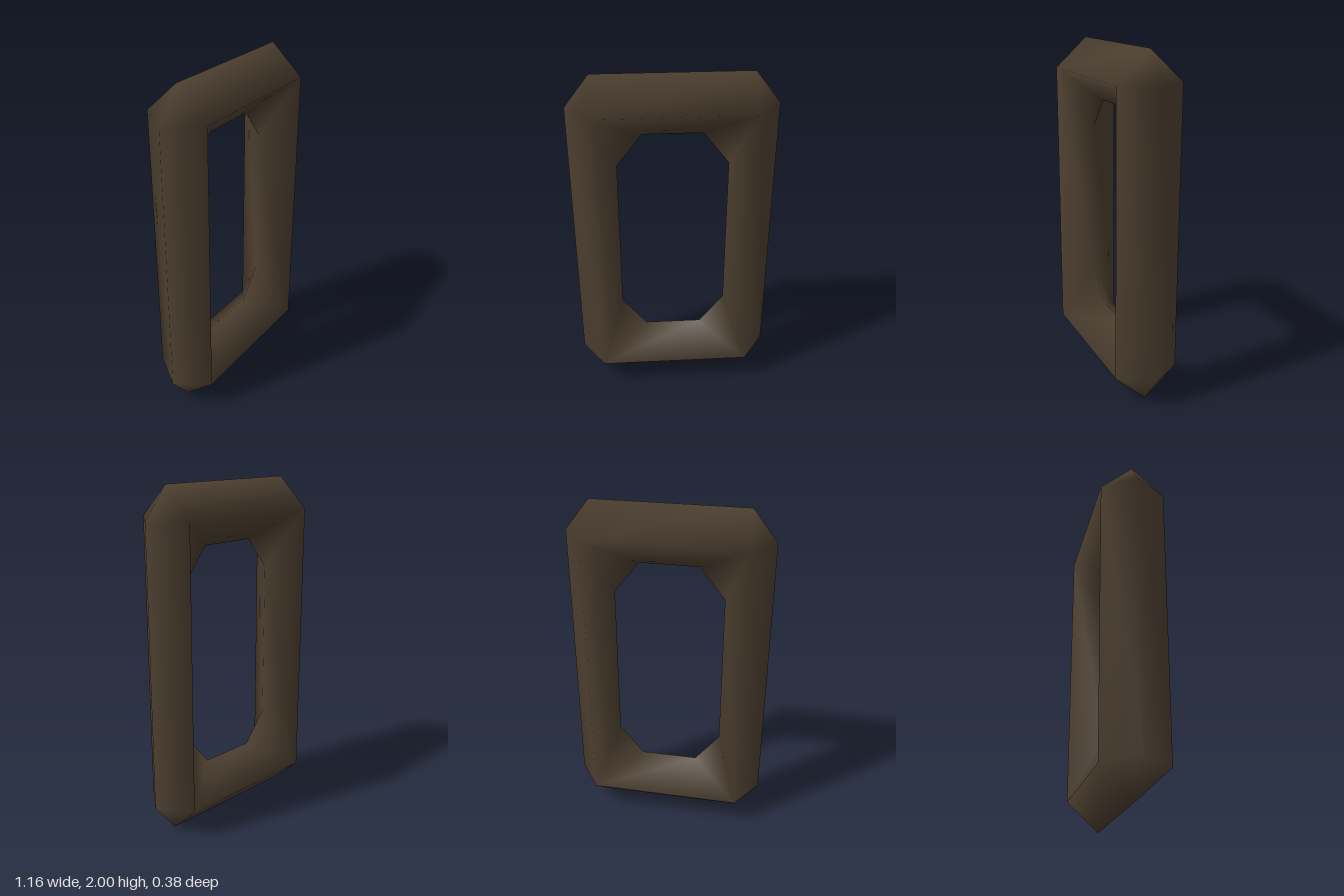
import * as THREE from 'three';

// Half-extents of each ring around the link; chamfered rings have two points per corner
const CORNERS = [[1, 1], [-1, 1], [-1, -1], [1, -1]];

function chamferedRing(halfW, halfH, cutX, cutY) {
  return CORNERS.flatMap(([sx, sy]) => {
    const side = [sx * halfW, 1 + sy * (halfH - cutY), 0];
    const end = [sx * (halfW - cutX), 1 + sy * halfH, 0];
    return sx * sy > 0 ? [side, end] : [end, side];
  });
}

function squareRing(halfW, halfH, z) {
  return CORNERS.map(([sx, sy]) => [sx * halfW, 1 + sy * halfH, z]);
}

// Diamond section swept round a rectangle: outer edge, front ridge, inner edge, back ridge
function linkGeometry() {
  const rings = [
    chamferedRing(0.58, 1, 0.14, 0.18),
    squareRing(0.445, 0.825, 0.19),
    chamferedRing(0.315, 0.655, 0.145, 0.185),
    squareRing(0.445, 0.825, -0.19),
  ];
  const points = [], starts = [], index = [];
  for (const ring of rings) {
    starts.push(points.length);
    points.push(...ring);
  }
  // Ridge corners are shared by both stations of a chamfer
  const at = (r, k) => starts[r] + (rings[r].length === 8 ? k % 8 : (k % 8) >> 1);
  const addTriangle = (a, b, c) => {
    if (a !== b && b !== c && a !== c) index.push(a, b, c);
  };
  for (let r = 0; r < 4; r++) {
    const s = (r + 1) % 4;
    for (let k = 0; k < 8; k++) {
      addTriangle(at(r, k), at(r, k + 1), at(s, k + 1));
      addTriangle(at(r, k), at(s, k + 1), at(s, k));
    }
  }
  const geometry = new THREE.BufferGeometry();
  geometry.setAttribute('position', new THREE.Float32BufferAttribute(points.flat(), 3));
  geometry.setIndex(index);
  geometry.computeVertexNormals();
  return geometry;
}

export function createModel() {
  const group = new THREE.Group();
  group.name = 'chainLink';
  const darkBronze = new THREE.MeshStandardMaterial({ color: 0x4c3f2f });
  darkBronze.name = 'darkBronze';
  const link = new THREE.Mesh(linkGeometry(), darkBronze);
  link.name = 'link';
  group.add(link);
  return group;
}
